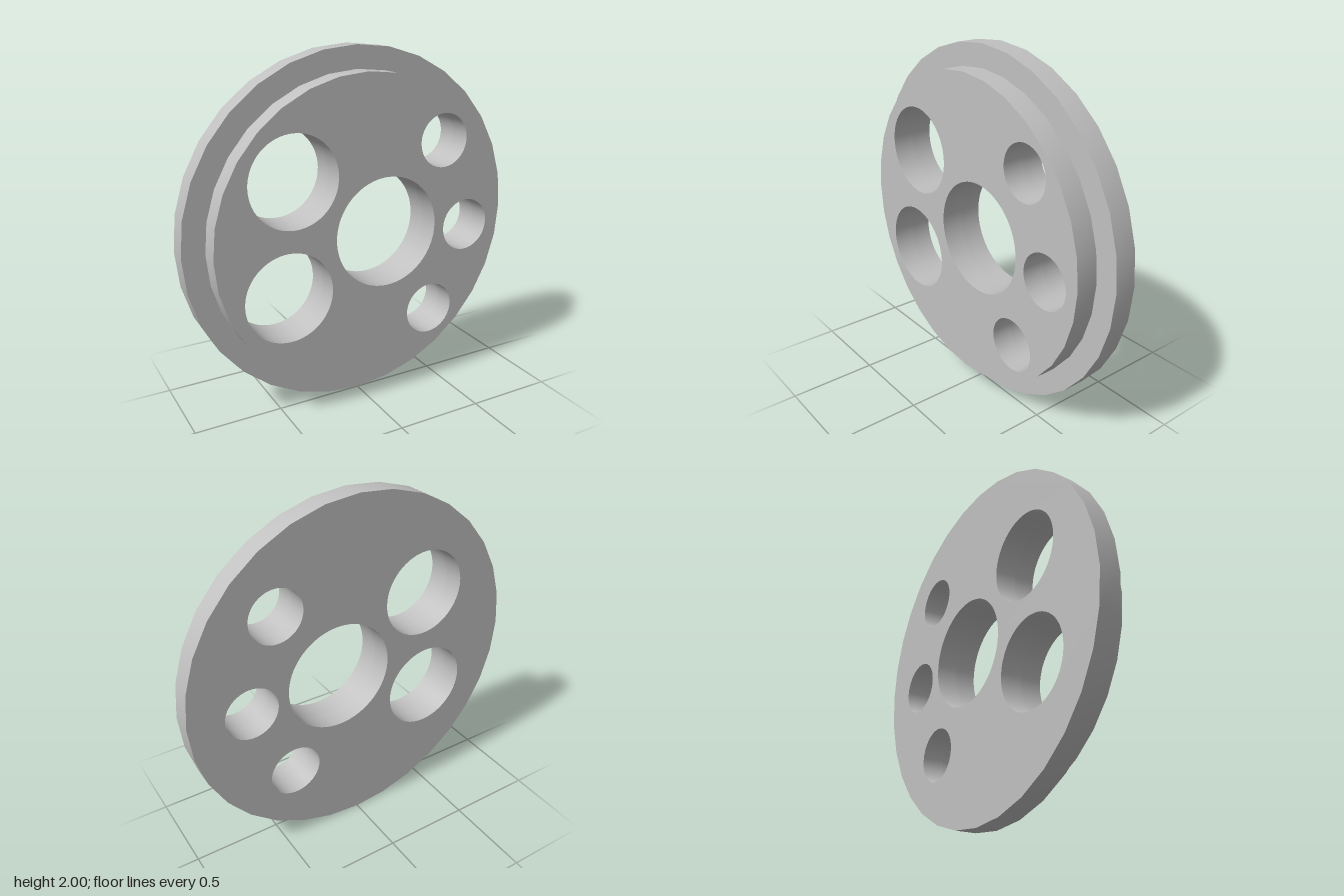
import * as THREE from 'three';
import { toCreasedNormals } from 'three/addons/utils/BufferGeometryUtils.js';

// Through holes: x, y, radius
const HOLES = [
  [0.12, 0.995, 0.314], // hub bore
  [-0.43, 1.347, 0.252],
  [-0.473, 0.722, 0.252],
  [0.482, 1.472, 0.152],
  [0.648, 0.957, 0.152],
  [0.413, 0.473, 0.152],
];

function circlePoints(x, y, radius, sides) {
  const points = [];
  for (let i = 0; i < sides; i++) {
    const a = (i / sides) * Math.PI * 2;
    points.push(new THREE.Vector2(x + radius * Math.cos(a), y + radius * Math.sin(a)));
  }
  return points;
}

// Disc of the given radius, pierced by every hole, from z0 to z0 + depth
function piercedDisc(name, radius, z0, depth, material) {
  const shape = new THREE.Shape(circlePoints(0, 1, radius, 32));
  for (const [x, y, r] of HOLES) shape.holes.push(new THREE.Path(circlePoints(x, y, r, 64)));
  const geometry = new THREE.ExtrudeGeometry(shape, { depth, bevelEnabled: false });
  geometry.translate(0, 0, z0);
  const mesh = new THREE.Mesh(toCreasedNormals(geometry, 0.5), material);
  mesh.name = name;
  return mesh;
}

export function createModel() {
  const metal = new THREE.MeshStandardMaterial({ color: 0xc0c0c0 });
  metal.name = 'light grey metal';

  const group = new THREE.Group();
  group.name = 'steppedPlate';
  group.add(
    piercedDisc('flange', 1, -0.125, 0.125, metal),
    piercedDisc('raisedBoss', 0.875, 0, 0.125, metal),
  );
  return group;
}
